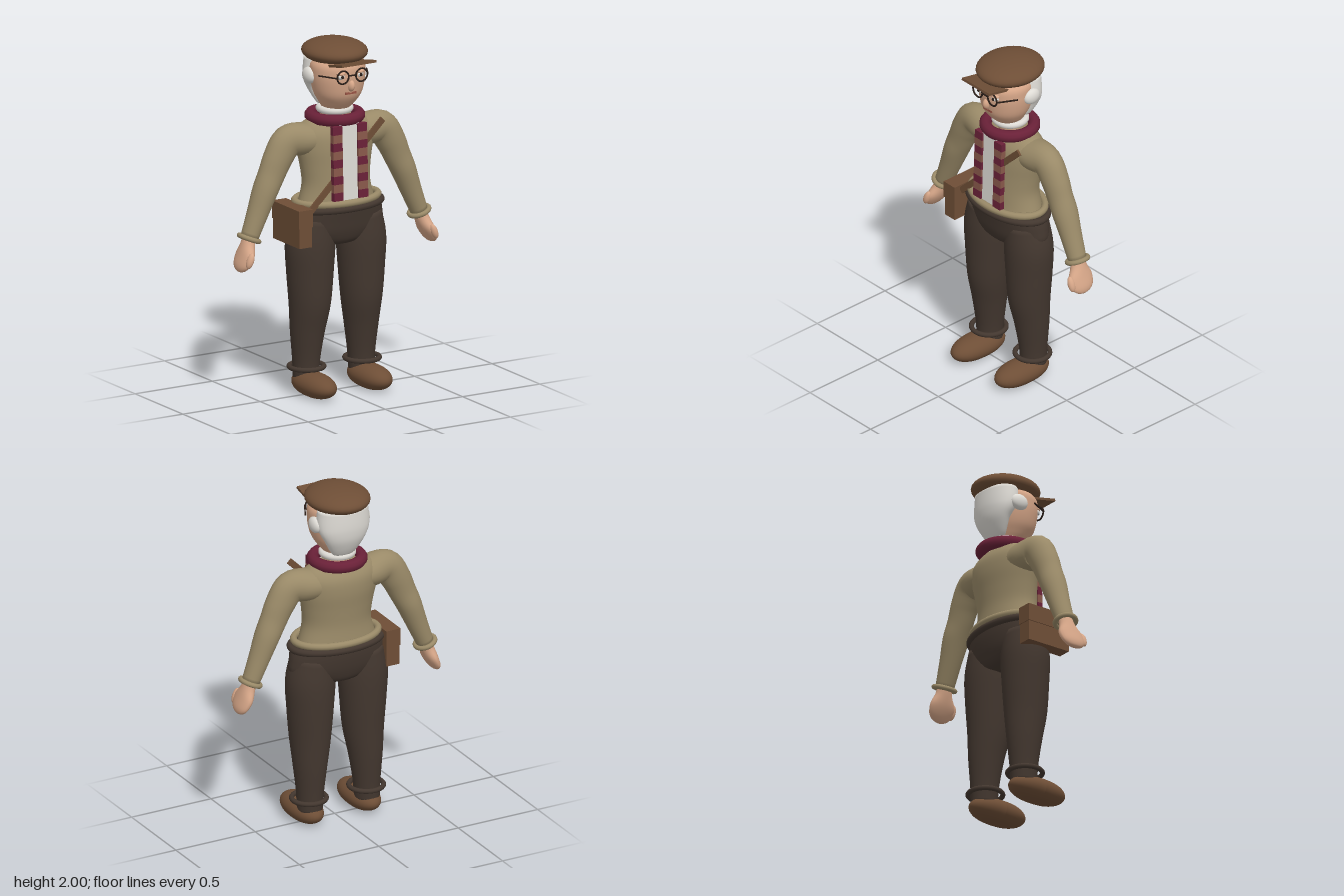
import * as THREE from 'three';

const paint = (name, color) => {
  const m = new THREE.MeshStandardMaterial({ color });
  m.name = name;
  return m;
};

export function createModel() {
  const tan = paint('tan wool', 0x9a8a68);
  const dark = paint('dark trousers', 0x43372f);
  const brown = paint('brown leather', 0x6e4e36);
  const wine = paint('burgundy', 0x6a2138);
  const rust = paint('rust stripe', 0x88584a);
  const skin = paint('skin', 0xd6a688);
  const white = paint('off white', 0xdedbd5);
  const black = paint('frame black', 0x2a1e18);
  const lip = paint('lip', 0x985444);

  const model = new THREE.Group();
  model.name = 'man';

  function add(name, geo, mat, x = 0, y = 0, z = 0) {
    const mesh = new THREE.Mesh(geo, mat);
    mesh.name = name;
    mesh.position.set(x, y, z);
    model.add(mesh);
    return mesh;
  }
  const box = (name, mat, w, h, d, x, y, z) => add(name, new THREE.BoxGeometry(w, h, d), mat, x, y, z);
  const ball = (name, mat, rx, ry, rz, x, y, z) =>
    add(name, new THREE.SphereGeometry(1, 32, 20).scale(rx, ry, rz), mat, x, y, z);

  // Elliptical horizontal ring of round tube
  function ring(name, mat, rx, rz, tube, x, y, z) {
    const pts = [];
    for (let i = 0; i < 24; i++) {
      const a = (i / 24) * Math.PI * 2;
      pts.push(new THREE.Vector3(Math.cos(a) * rx, 0, Math.sin(a) * rz));
    }
    const path = new THREE.CatmullRomCurve3(pts, true);
    return add(name, new THREE.TubeGeometry(path, 48, tube, 10, true), mat, x, y, z);
  }

  // Smooth loft through rings [x, y, z, radius across, radius in z]
  function loft(name, mat, rings, seg = 32) {
    const spline = (f) => new THREE.CatmullRomCurve3(rings.map(f), false, 'catmullrom');
    const path = spline((r) => new THREE.Vector3(r[0], r[1], r[2]));
    const size = spline((r) => new THREE.Vector3(r[3], r[4], 0));
    const n = (rings.length - 1) * 5;
    const pos = [], idx = [];
    for (let i = 0; i <= n; i++) {
      const p = path.getPoint(i / n), s = size.getPoint(i / n), t = path.getTangent(i / n);
      const len = Math.hypot(t.x, t.y);
      const ru = Math.max(s.x, 0.001), rv = Math.max(s.y, 0.001);
      for (let j = 0; j < seg; j++) {
        const a = (j / seg) * Math.PI * 2, c = Math.cos(a) * ru;
        pos.push(p.x + (t.y / len) * c, p.y - (t.x / len) * c, p.z + Math.sin(a) * rv);
        if (i < n) {
          const k = i * seg + j, k2 = i * seg + ((j + 1) % seg);
          idx.push(k, k + seg, k2, k2, k + seg, k2 + seg);
        }
      }
    }
    // End caps
    const first = pos.length / 3, last = n * seg;
    const a = path.getPoint(0), b = path.getPoint(1);
    pos.push(a.x, a.y, a.z, b.x, b.y, b.z);
    for (let j = 0; j < seg; j++) {
      const k = (j + 1) % seg;
      idx.push(first, j, k, first + 1, last + k, last + j);
    }
    const geo = new THREE.BufferGeometry();
    geo.setAttribute('position', new THREE.Float32BufferAttribute(pos, 3));
    geo.setIndex(idx);
    geo.computeVertexNormals();
    return add(name, geo, mat);
  }

  // Torso, hem and trousers
  loft('sweater', tan, [
    [0, 1.06, -0.015, 0.245, 0.15], [0, 1.11, -0.018, 0.225, 0.14], [0, 1.2, -0.018, 0.205, 0.136],
    [0, 1.3, -0.025, 0.215, 0.138], [0, 1.4, -0.033, 0.235, 0.142], [0, 1.48, -0.038, 0.24, 0.132],
    [0, 1.535, -0.04, 0.2, 0.1], [0, 1.56, -0.04, 0.12, 0.07], [0, 1.57, -0.04, 0.02, 0.02]]);
  ring('sweaterHem', tan, 0.252, 0.158, 0.02, 0, 1.1, -0.013);
  ring('waistband', dark, 0.275, 0.158, 0.02, 0, 1.065, -0.015);
  loft('trouserSeat', dark, [
    [0, 0.835, -0.02, 0.02, 0.03], [0, 0.86, -0.02, 0.17, 0.1], [0, 0.92, -0.02, 0.285, 0.13],
    [0, 1.0, -0.02, 0.29, 0.146], [0, 1.08, -0.015, 0.272, 0.155]]);

  for (const s of [-1, 1]) {
    const side = s > 0 ? 'left' : 'right';

    // Legs and shoes
    loft(side + 'TrouserLeg', dark, [
      [s * 0.15, 1.0, -0.02, 0.125, 0.12], [s * 0.164, 0.86, -0.02, 0.142, 0.133],
      [s * 0.166, 0.7, -0.02, 0.132, 0.13], [s * 0.167, 0.52, -0.02, 0.116, 0.12],
      [s * 0.174, 0.36, -0.033, 0.096, 0.1], [s * 0.178, 0.2, -0.04, 0.077, 0.081],
      [s * 0.18, 0.08, -0.04, 0.07, 0.075]]);
    ring(side + 'TrouserCuff', dark, 0.096, 0.096, 0.014, s * 0.18, 0.155, -0.033);
    const shoe = new THREE.SphereGeometry(1, 32, 24), p = shoe.attributes.position;
    for (let i = 0; i < p.count; i++) {
      const z = p.getZ(i);
      p.setXYZ(i, p.getX(i) * 0.09, Math.max(p.getY(i) * 0.07, -0.063),
        Math.sign(z) * Math.abs(z) ** 0.85 * 0.183);
    }
    shoe.computeVertexNormals();
    add(side + 'Shoe', shoe, brown, s * 0.18, 0.068, 0.047);

    // Sleeves and hands
    loft(side + 'Sleeve', tan, [
      [s * 0.1, 1.44, -0.04, 0.08, 0.1], [s * 0.2, 1.452, -0.04, 0.09, 0.1],
      [s * 0.3, 1.452, -0.036, 0.092, 0.08], [s * 0.362, 1.37, -0.035, 0.086, 0.075],
      [s * 0.405, 1.28, -0.035, 0.078, 0.07], [s * 0.447, 1.19, -0.036, 0.071, 0.073],
      [s * 0.495, 1.07, -0.036, 0.06, 0.062], [s * 0.55, 0.935, -0.035, 0.049, 0.053]], 24);
    ring(side + 'SleeveCuff', tan, 0.056, 0.06, 0.014, s * 0.55, 0.935, -0.035).rotation.z = s * 0.38;
    loft(side + 'Hand', skin, [
      [s * 0.548, 0.95, -0.035, 0.035, 0.04], [s * 0.563, 0.9, -0.03, 0.037, 0.052],
      [s * 0.583, 0.845, -0.023, 0.036, 0.08], [s * 0.607, 0.795, -0.022, 0.029, 0.072],
      [s * 0.619, 0.768, -0.022, 0.018, 0.045], [s * 0.623, 0.757, -0.022, 0.003, 0.01]], 20);
    ball(side + 'Thumb', skin, 0.02, 0.045, 0.022, s * 0.595, 0.83, 0.05).rotation.z = s * 0.35;

    // Striped scarf tail
    const bands = 9, h = 0.42 / bands;
    for (let i = 0; i < bands; i++) {
      box(side + 'ScarfBand', i % 2 ? rust : wine, 0.06, h, 0.03, s * 0.08,
        1.54 - (i + 0.5) * h, 0.118 + 0.0015 * i).rotation.x = -0.03;
    }

    // Eyes, glasses and side hair
    ball(side + 'Eye', white, 0.024, 0.018, 0.022, s * 0.06, 1.825, 0.13);
    ball(side + 'Pupil', black, 0.009, 0.009, 0.006, s * 0.06, 1.825, 0.15);
    ball(side + 'Eyelid', skin, 0.027, 0.012, 0.025, s * 0.06, 1.841, 0.13);
    add(side + 'GlassesRim', new THREE.TorusGeometry(0.037, 0.005, 8, 28), black, s * 0.06, 1.825, 0.156);
    box(side + 'GlassesArm', black, 0.007, 0.007, 0.12, s * 0.128, 1.825, 0.105).rotation.y = s * -0.48;
    ball(side + 'SideHair', white, 0.03, 0.046, 0.055, s * 0.152, 1.805, -0.052);
  }
  box('glassesBridge', black, 0.046, 0.007, 0.007, 0, 1.83, 0.158);

  // Shirt front, collar and scarf loop
  box('shirtFront', white, 0.12, 0.43, 0.04, 0, 1.33, 0.107).rotation.x = -0.03;
  ring('shirtCollar', white, 0.085, 0.085, 0.02, 0, 1.605, -0.03);
  ring('scarfLoop', wine, 0.135, 0.134, 0.034, 0, 1.565, -0.028);

  // Head
  loft('head', skin, [
    [0, 1.55, -0.03, 0.07, 0.07], [0, 1.61, -0.02, 0.076, 0.08], [0, 1.65, -0.008, 0.102, 0.106],
    [0, 1.7, 0, 0.132, 0.132], [0, 1.76, 0, 0.149, 0.146], [0, 1.82, 0, 0.155, 0.151],
    [0, 1.88, -0.005, 0.148, 0.148], [0, 1.93, -0.01, 0.09, 0.09]]);
  ball('nose', skin, 0.021, 0.034, 0.03, 0, 1.768, 0.138);
  box('mouth', lip, 0.07, 0.013, 0.02, 0, 1.725, 0.13);
  loft('backHair', white, [
    [0, 1.61, -0.1, 0.045, 0.018], [0, 1.63, -0.1, 0.072, 0.035], [0, 1.67, -0.108, 0.098, 0.05],
    [0, 1.72, -0.115, 0.125, 0.064], [0, 1.77, -0.105, 0.15, 0.084],
    [0, 1.82, -0.092, 0.158, 0.1], [0, 1.9, -0.09, 0.15, 0.1]]);

  // Flat cap
  ball('capCrown', brown, 0.178, 0.068, 0.2, 0, 1.932, -0.03);
  box('capVisor', brown, 0.224, 0.014, 0.18, 0, 1.893, 0.139).rotation.x = -0.2;

  // Shoulder bag and strap
  box('bagBody', brown, 0.08, 0.2, 0.275, -0.298, 0.985, 0.012);
  box('bagFlap', brown, 0.09, 0.1, 0.285, -0.298, 1.05, 0.012);
  box('bagStrap', brown, 0.036, 0.67, 0.012, -0.012, 1.302, 0.107).rotation.z = -0.79;

  return model;
}
